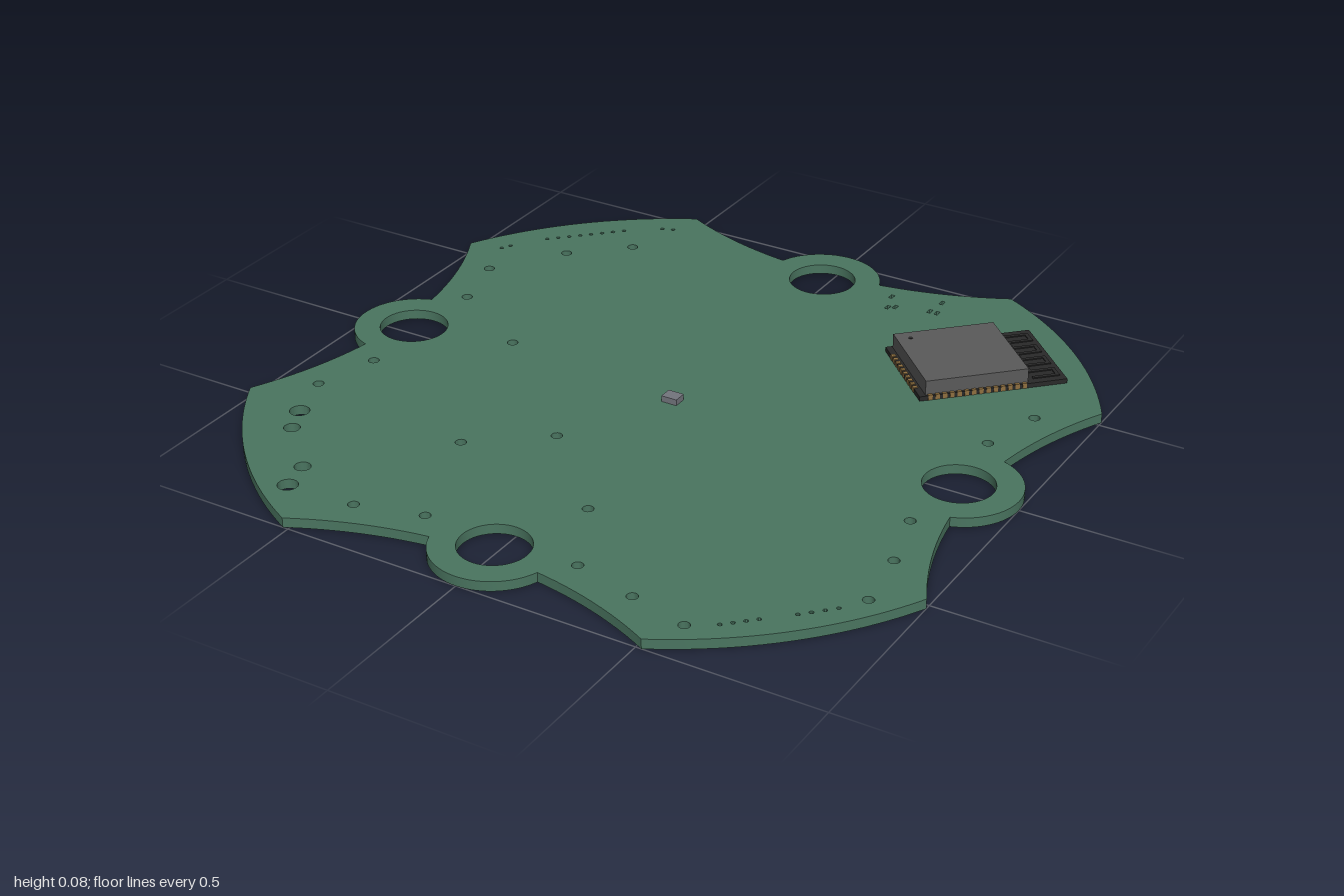
import * as THREE from 'three';
import { toCreasedNormals } from 'three/addons/utils/BufferGeometryUtils.js';

const material = (color) => new THREE.MeshStandardMaterial({ color });
const green = material(0x4a7560);
const black = material(0x292929);
const steel = material(0x5a5a5a);
const gold = material(0x8f7040);
const chipGrey = material(0x73757d);

const BOARD = 0.027;

function box(parent, name, mat, w, h, d, x, y, z) {
  const mesh = new THREE.Mesh(new THREE.BoxGeometry(w, h, d), mat);
  mesh.name = name;
  mesh.position.set(x, y + h / 2, z); // y is the underside
  parent.add(mesh);
  return mesh;
}

// Points along an arc, without the last one
function arc(points, cx, cy, r, from, to, n) {
  for (let i = 0; i < n; i++) {
    const a = from + ((to - from) * i) / n;
    points.push(new THREE.Vector2(cx + r * Math.cos(a), cy + r * Math.sin(a)));
  }
}

// Outline: four outer arcs, joined by concave arcs and round mounting tabs
function boardOutline() {
  const R = 1.125, tab = 0.835, tabR = 0.165, far = 2;
  const corner = Math.acos(1 / R);
  const d = far - tab;
  const inX = (d * d + tabR * tabR - R * R) / (2 * d);
  const inY = Math.sqrt(tabR * tabR - inX * inX);
  const tabA = Math.atan2(inY, inX);
  const join = Math.asin(inY / R);
  const points = [];
  for (let k = 0; k < 4; k++) {
    const p = (k * Math.PI) / 2, c = Math.cos(p), s = Math.sin(p);
    arc(points, far * c, far * s, R, p + Math.PI + corner, p + Math.PI + join, 12);
    arc(points, tab * c, tab * s, tabR, p - tabA, p + tabA, 32);
    arc(points, far * c, far * s, R, p + Math.PI - join, p + Math.PI - corner, 12);
    arc(points, 0, 0, R, p + corner, p + Math.PI / 2 - corner, 20);
  }
  return points;
}

function createBoard() {
  const shape = new THREE.Shape(boardOutline());
  const hole = (x, z, r, n = 16) => {
    const points = [];
    arc(points, x, -z, r, 0, -Math.PI * 2, n);
    shape.holes.push(new THREE.Path(points));
  };
  const slot = (x, z, w, h) => shape.holes.push(new THREE.Path([
    [-1, -1], [-1, 1], [1, 1], [1, -1],
  ].map(([a, b]) => new THREE.Vector2(x + (a * w) / 2, -z + (b * h) / 2))));
  const row = (x0, z0, x1, z1, n) => {
    for (let i = 0; i < n; i++) {
      const t = i / (n - 1);
      hole(x0 + (x1 - x0) * t, z0 + (z1 - z0) * t, 0.006, 8);
    }
  };

  // Large holes in the tabs
  for (const s of [-1, 1]) {
    hole(s * 0.835, 0, 0.094, 48);
    hole(0, s * 0.835, 0.094, 48);
  }
  // Screw holes beside the tabs
  for (const s of [-1, 1]) {
    for (const t of [-1, 1]) {
      hole(s * 0.81, t * 0.222, 0.015);
      hole(s * 0.858, t * 0.404, 0.015);
    }
    hole(s * 0.222, 0.81, 0.015);
    hole(s * 0.404, 0.858, 0.015);
  }
  // Scattered screw holes
  for (const [x, z] of [
    [-0.578, -0.738], [-0.722, -0.604], [-0.545, -0.057], [-0.16, 0.313],
    [-0.353, 0.468], [0.104, 0.578], [0.57, 0.9], [0.885, 0.588],
  ]) hole(x, z, 0.015);
  // Wider holes in the front right-hand corner
  hole(-0.81, 0.548, 0.027, 24);
  hole(-0.602, 0.866, 0.027, 24);
  hole(-0.772, 0.63, 0.022, 24);
  hole(-0.626, 0.775, 0.022, 24);
  // Pin rows
  row(-0.658, -0.818, -0.823, -0.655, 8);
  row(-0.567, -0.888, -0.537, -0.9, 2);
  row(-0.89, -0.561, -0.904, -0.535, 2);
  row(0.639, 0.856, 0.706, 0.79, 4);
  row(0.773, 0.727, 0.842, 0.655, 4);
  // Small slots beside the radio module
  for (const [x, z] of [
    [0.22, -0.84], [0.24, -0.775], [0.258, -0.787],
    [0.36, -0.877], [0.353, -0.813], [0.375, -0.813],
  ]) slot(x, z, 0.011, 0.02);

  const extruded = new THREE.ExtrudeGeometry(shape, { depth: BOARD, bevelEnabled: false });
  extruded.rotateX(-Math.PI / 2);
  const mesh = new THREE.Mesh(toCreasedNormals(extruded, 0.5), green);
  mesh.name = 'circuitBoard';
  return mesh;
}

// Radio module: carrier, metal can, edge pads and antenna (antenna end at local -z)
function createRadioModule() {
  const g = new THREE.Group();
  g.name = 'radioModule';
  const W = 0.291, L = 0.414, T = 0.013;
  box(g, 'moduleCarrier', black, W, T, L, 0, 0, 0);

  const canZ = L / 2 - 0.018 - 0.1435;
  box(g, 'shieldCan', steel, 0.277, 0.041, 0.287, 0, T, canZ);
  const dot = new THREE.Mesh(new THREE.CylinderGeometry(0.006, 0.006, 0.001, 16), black);
  dot.name = 'pinMark';
  dot.position.set(-0.105, T + 0.0415, canZ + 0.105);
  g.add(dot);

  // Edge pads along both sides and the inner end
  for (let i = 0; i < 14; i++) {
    const z = L / 2 - 0.03 - i * 0.0203;
    for (const s of [-1, 1]) {
      box(g, 'sidePad', gold, 0.012, T + 0.002, 0.012, s * (W / 2 - 0.005), 0, z);
    }
  }
  for (let i = 0; i < 10; i++) {
    box(g, 'endPad', gold, 0.012, T + 0.002, 0.012, (i - 4.5) * 0.0203, 0, L / 2 - 0.005);
  }

  // Meandering antenna trace
  const step = 0.034, near = -0.118, far = -0.194, w = 0.01;
  for (let i = 0; i < 8; i++) {
    const x = (i - 3.5) * step;
    box(g, 'antennaTrace', black, w, 0.003, near - far, x, T, (near + far) / 2);
    if (i < 7) {
      box(g, 'antennaLink', black, step - w, 0.003, w, x + step / 2, T,
        i % 2 ? near - w / 2 : far + w / 2);
    }
  }

  g.position.set(0.604, BOARD, -0.58);
  g.rotation.y = -Math.PI / 4;
  return g;
}

export function createModel() {
  const model = new THREE.Group();
  model.name = 'roundCircuitBoard';
  model.add(createBoard(), createRadioModule());
  // Sensor chip at the centre
  box(model, 'sensorChip', chipGrey, 0.046, 0.017, 0.038, 0, BOARD, 0);
  return model;
}
